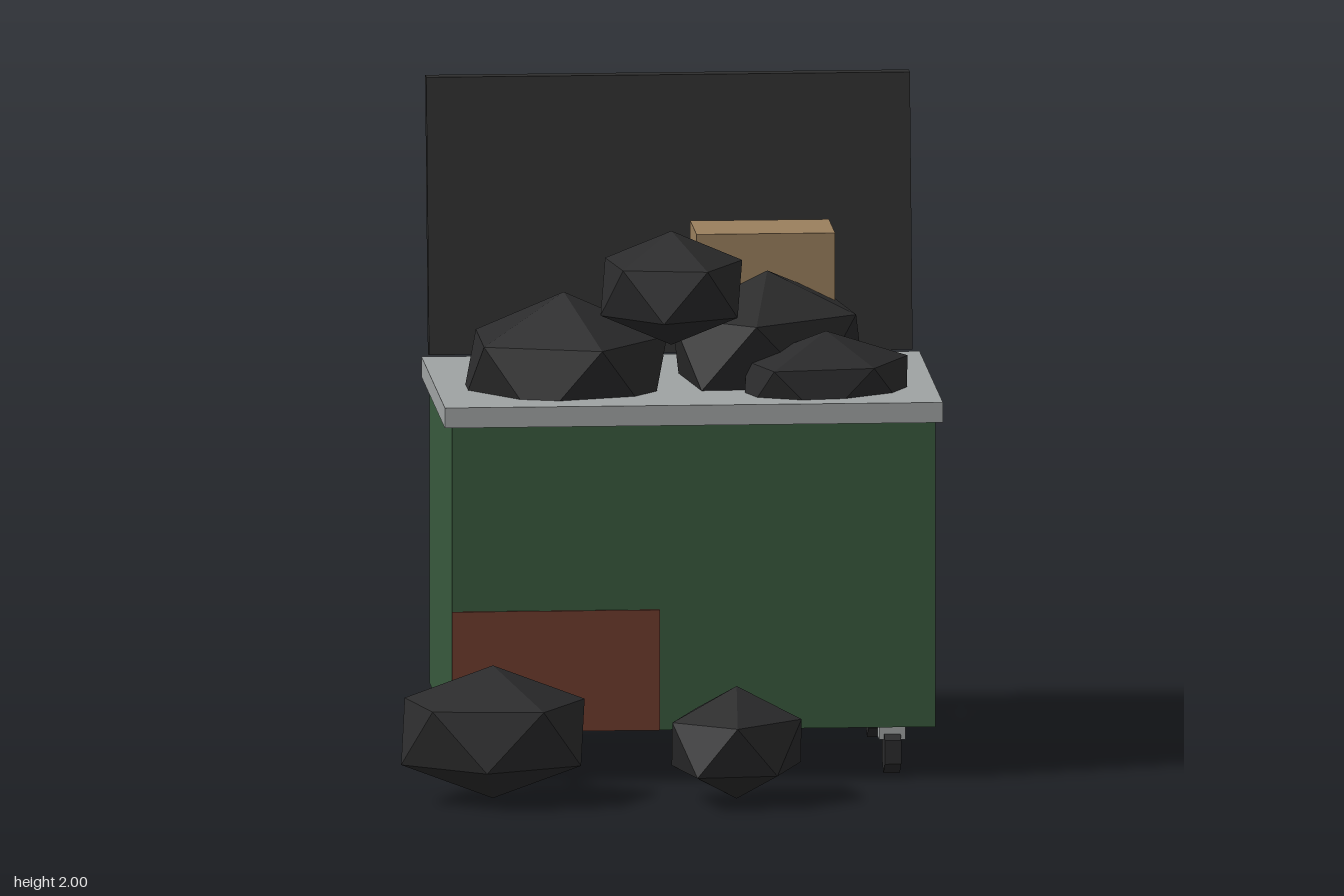
import * as THREE from 'three';
import { ConvexGeometry } from 'three/addons/geometries/ConvexGeometry.js';

const mat = (name, color) => {
  const m = new THREE.MeshStandardMaterial({ color, flatShading: true });
  m.name = name;
  return m;
};

// Twelve-point faceted bag: two staggered rings of five plus top and bottom points.
// a, b are the ring half-axes; turn and phase are in degrees about the vertical.
function bagGeometry(a, b, height, turn, phase) {
  const rad = Math.PI / 180, c = Math.cos(turn * rad), s = Math.sin(turn * rad);
  const pts = [new THREE.Vector3(0, height, 0), new THREE.Vector3(0, -height, 0)];
  for (let i = 0; i < 10; i++) {
    const t = (phase + i * 36) * rad;
    const u = a * Math.cos(t), v = b * Math.sin(t);
    pts.push(new THREE.Vector3(u * c - v * s, (i % 2 ? -0.447 : 0.447) * height, u * s + v * c));
  }
  return new ConvexGeometry(pts);
}

export function createModel() {
  const model = new THREE.Group();
  model.name = 'dumpster';
  const green = mat('green paint', 0x38593d);
  const gray = mat('gray metal', 0x9fa3a3);
  const rust = mat('rust', 0x6e3b2d);
  const lidBlack = mat('lid black', 0x2e2e2e);
  const bagBlack = mat('bag black', 0x2b2b2c);
  const card = mat('cardboard', 0x9a7f5d);

  const add = (name, geometry, material, x, y, z) => {
    const mesh = new THREE.Mesh(geometry, material);
    mesh.name = name;
    mesh.position.set(x, y, z);
    model.add(mesh);
    return mesh;
  };
  // Box given by its lower and upper corners
  const box = (name, material, [x0, y0, z0], [x1, y1, z1]) =>
    add(name, new THREE.BoxGeometry(x1 - x0, y1 - y0, z1 - z0), material,
      (x0 + x1) / 2, (y0 + y1) / 2, (z0 + z1) / 2);

  // Bin
  box('body', green, [-0.657, 0.16, -0.68], [0.815, 1.1, 0.267]);
  box('rim', gray, [-0.68, 1.098, -0.705], [0.836, 1.16, 0.286]);
  box('rustPatch', rust, [-0.657, 0.16, 0.267], [-0.025, 0.53, 0.274]);

  // Open lid: leaning slab extruded from its side section
  const section = new THREE.Shape([
    [0.705, 1.165], [0.755, 1.16], [0.87, 2], [0.822, 2],
  ].map(([x, y]) => new THREE.Vector2(x, y)));
  const lid = new THREE.ExtrudeGeometry(section, { depth: 1.472, bevelEnabled: false });
  lid.rotateY(Math.PI / 2); // section depth runs towards the back
  add('lid', lid, lidBlack, -0.657, 0, 0);

  // Casters
  for (const x of [-0.53, 0.69]) {
    for (const z of [0.142, -0.555]) {
      box('casterBracket', gray, [x - 0.04, 0.108, z - 0.036], [x + 0.04, 0.16, z + 0.036]);
      const wheel = new THREE.CylinderGeometry(0.073, 0.073, 0.05, 6);
      wheel.rotateZ(Math.PI / 2);
      const m = add('wheel', wheel, bagBlack, x, 0.073, z);
      m.rotation.x = Math.PI / 2;
    }
  }

  // Cardboard box on top
  box('cardboardBox', card, [0.133, 1.155, -0.635], [0.555, 1.58, -0.37]);

  // Rubbish bags: name, centre, ring half-axes, half height, turn, phase
  const bags = [
    ['leftBag', [-0.29, 1.197, -0.11], 0.315, 0.3, 0.253, 0, 0],
    ['rightBag', [0.34, 1.26, -0.25], 0.34, 0.27, 0.226, -50, 0],
    ['frontBag', [0.5, 1.17, 0.01], 0.275, 0.195, 0.17, -25, 5],
    ['topBag', [0.03, 1.476, 0], 0.22, 0.222, 0.175, 0, -8],
    ['groundBagLarge', [-0.555, 0.21, 0.58], 0.288, 0.246, 0.204, 0, -11],
    ['groundBagSmall', [0.183, 0.178, 0.635], 0.245, 0.2, 0.173, -65, 10],
  ];
  for (const [name, p, a, b, h, turn, phase] of bags) {
    add(name, bagGeometry(a, b, h, turn, phase), bagBlack, ...p);
  }
  return model;
}
